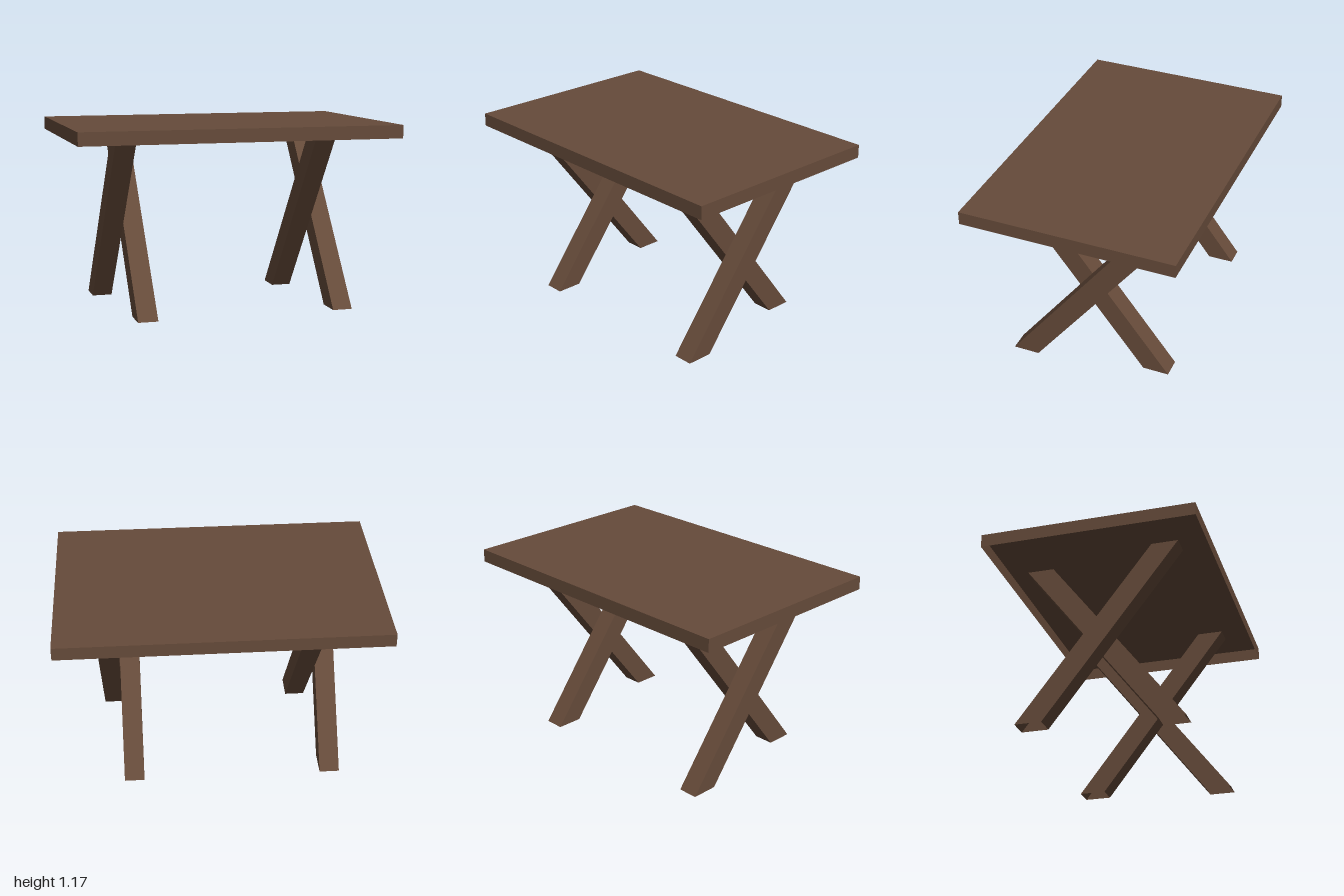
import * as THREE from 'three';

const TOP = 1.167, LEG_H = 1.085;

// Box standing on y = 0 with the chosen faces left out (2 = top, 3 = bottom)
function openBox(w, h, d, omit) {
  const geo = new THREE.BoxGeometry(w, h, d).translate(0, h / 2, 0);
  const index = Array.from(geo.index.array);
  geo.setIndex(index.filter((_, i) => !omit.includes(Math.floor(i / 6))));
  geo.clearGroups();
  return geo;
}

// Slanted beam with horizontal open ends, running from z0 at the floor to -z0 at the top
function legGeometry(z0) {
  const geo = openBox(0.125, LEG_H, 0.166, [2, 3]);
  const pos = geo.attributes.position;
  for (let i = 0; i < pos.count; i++) {
    const t = pos.getY(i) / LEG_H;
    pos.setZ(i, pos.getZ(i) + z0 * (1 - 2 * t));
  }
  geo.computeVertexNormals();
  return geo;
}

export function createModel() {
  const group = new THREE.Group();
  const wood = new THREE.MeshStandardMaterial({ color: 0x664b3a, side: THREE.DoubleSide });
  wood.name = 'brown wood';

  // Tabletop: a shallow tray, open underneath
  const top = new THREE.Mesh(openBox(2, TOP - LEG_H, 1.334, [3]), wood);
  top.name = 'tabletop';
  top.position.y = LEG_H;
  group.add(top);

  // Two crossed pairs of legs, the beams of each pair side by side
  for (const [side, x] of [['left', 0.625], ['right', -0.625]]) {
    const pair = new THREE.Group();
    pair.name = side + 'CrossLegs';
    pair.position.x = x;
    for (const s of [1, -1]) {
      const leg = new THREE.Mesh(legGeometry(s * 0.417), wood);
      leg.name = side + (s > 0 ? 'FrontFootLeg' : 'BackFootLeg');
      leg.position.x = s * 0.0625;
      pair.add(leg);
    }
    group.add(pair);
  }
  return group;
}
